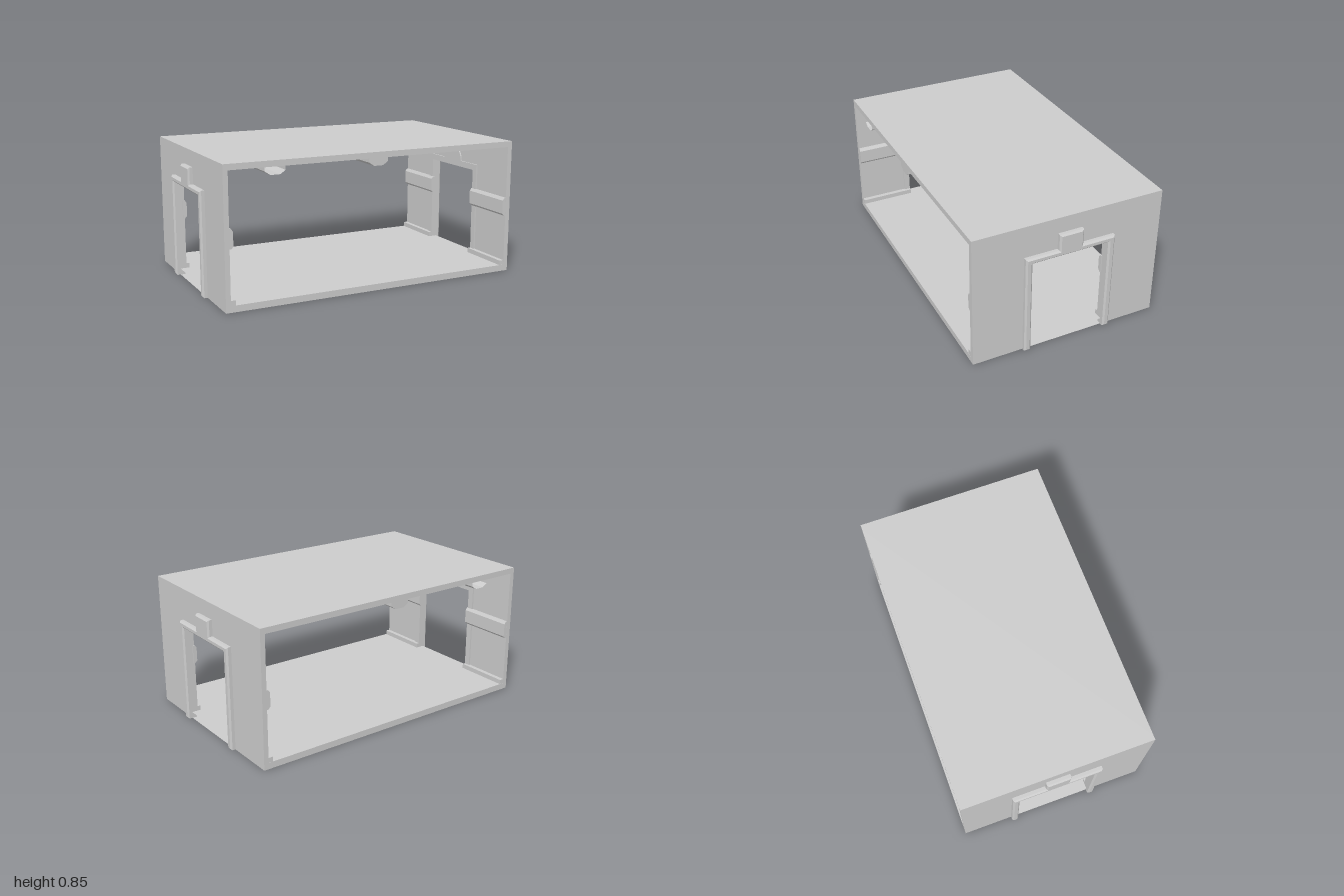
import * as THREE from 'three';

const material = new THREE.MeshStandardMaterial({ color: 0xcccccc, flatShading: true, side: THREE.DoubleSide });
const HALF_DEPTH = 0.605, HEIGHT = 0.85, DOOR = 0.245, DOOR_TOP = 0.61;

function add(parent, name, geometry, x = 0, y = 0, z = 0) {
  const mesh = new THREE.Mesh(geometry, material);
  mesh.name = name;
  mesh.position.set(x, y, z);
  parent.add(mesh);
  return mesh;
}

const polygon = (points) => new THREE.Shape(points.map(([x, y]) => new THREE.Vector2(x, y)));

const extrude = (shape, depth, options = {}) =>
  new THREE.ExtrudeGeometry(shape, { depth, bevelEnabled: false, curveSegments: 10, ...options });

// Side wall with everything attached to it; local +z points out of the room
function createSide(name) {
  const side = new THREE.Group();
  side.name = name;

  // Wall with a doorway open at the bottom
  const wall = polygon([
    [-HALF_DEPTH, 0], [-DOOR, 0], [-DOOR, DOOR_TOP], [DOOR, DOOR_TOP],
    [DOOR, 0], [HALF_DEPTH, 0], [HALF_DEPTH, HEIGHT], [-HALF_DEPTH, HEIGHT],
  ]);
  add(side, 'wall', extrude(wall, 0.03), 0, 0, 0.94);

  // Bevelled outer door surround with a square keystone
  const trim = polygon([
    [-0.287, 0], [-DOOR, 0], [-DOOR, DOOR_TOP], [DOOR, DOOR_TOP], [DOOR, 0], [0.287, 0],
    [0.287, 0.648], [0.077, 0.648], [0.077, 0.75], [-0.077, 0.75], [-0.077, 0.648], [-0.287, 0.648],
  ]);
  const bevel = { bevelEnabled: true, bevelSize: 0.01, bevelThickness: 0.01, bevelOffset: -0.01, bevelSegments: 1 };
  add(side, 'outerDoorTrim', extrude(trim, 0.025, bevel), 0, 0, 0.965);

  // Thin inner door surround with a round keystone
  const inner = polygon([
    [-0.285, 0.04], [-DOOR, 0.04], [-DOOR, DOOR_TOP], [DOOR, DOOR_TOP], [DOOR, 0.04], [0.285, 0.04],
    [0.285, 0.65], [0.1, 0.65],
  ]);
  inner.absarc(0, 0.65, 0.1, 0, Math.PI, false);
  inner.lineTo(-0.285, 0.65);
  add(side, 'innerDoorTrim', extrude(inner, 0.01), 0, 0, 0.93);

  // Wall rails and skirting on both sides of the doorway
  const rail = polygon([[0.942, 0.368], [0.93, 0.368], [0.917, 0.382], [0.917, 0.468], [0.93, 0.485], [0.942, 0.485]]);
  const skirting = polygon([[0.942, 0.038], [0.91, 0.038], [0.91, 0.07], [0.942, 0.07]]);
  for (const s of [-1, 1]) {
    for (const [label, profile, start] of [['wallRail', rail, 0.238], ['skirting', skirting, DOOR]]) {
      const length = HALF_DEPTH - 0.001 - start;
      const geometry = extrude(profile, length);
      // Profile x becomes outward, extrusion runs along the wall
      geometry.rotateY(-Math.PI / 2).translate(s > 0 ? start + length : -start, 0, 0);
      add(side, label, geometry);
    }
  }
  return side;
}

// Ceiling beam running front to back, optionally open at its ends
function createBeam(capped) {
  const length = 2 * HALF_DEPTH;
  const profile = polygon([
    [-0.063, 0.816], [-0.063, 0.79], [-0.03, 0.768], [0.03, 0.768], [0.063, 0.79], [0.063, 0.816],
  ]);
  const geometry = extrude(profile, length);
  if (!capped) {
    const { start, count } = geometry.groups[1];
    for (const key of Object.keys(geometry.attributes)) {
      const { array, itemSize } = geometry.attributes[key];
      const part = array.slice(start * itemSize, (start + count) * itemSize);
      geometry.setAttribute(key, new THREE.BufferAttribute(part, itemSize));
    }
    geometry.clearGroups();
  }
  return geometry.translate(0, 0, -length / 2);
}

export function createModel() {
  const room = new THREE.Group();
  room.name = 'room';

  // Hollow floor slab, open towards both doorways
  const floor = new THREE.BoxGeometry(1.94, 0.04, 2 * HALF_DEPTH);
  floor.setIndex(Array.from(floor.index.array).slice(12));
  floor.clearGroups();
  add(room, 'floor', floor, 0, 0.02, 0);

  // Ceiling slab and beams
  add(room, 'ceiling', new THREE.BoxGeometry(1.88, 0.036, 2 * HALF_DEPTH), 0, HEIGHT - 0.018, 0);
  add(room, 'centreBeam', createBeam(true));
  add(room, 'sideBeam', createBeam(false), -0.66);

  // Two mirrored side walls
  const left = createSide('leftSide');
  left.rotation.y = Math.PI / 2;
  const right = createSide('rightSide');
  right.rotation.y = -Math.PI / 2;
  room.add(left, right);

  return room;
}
